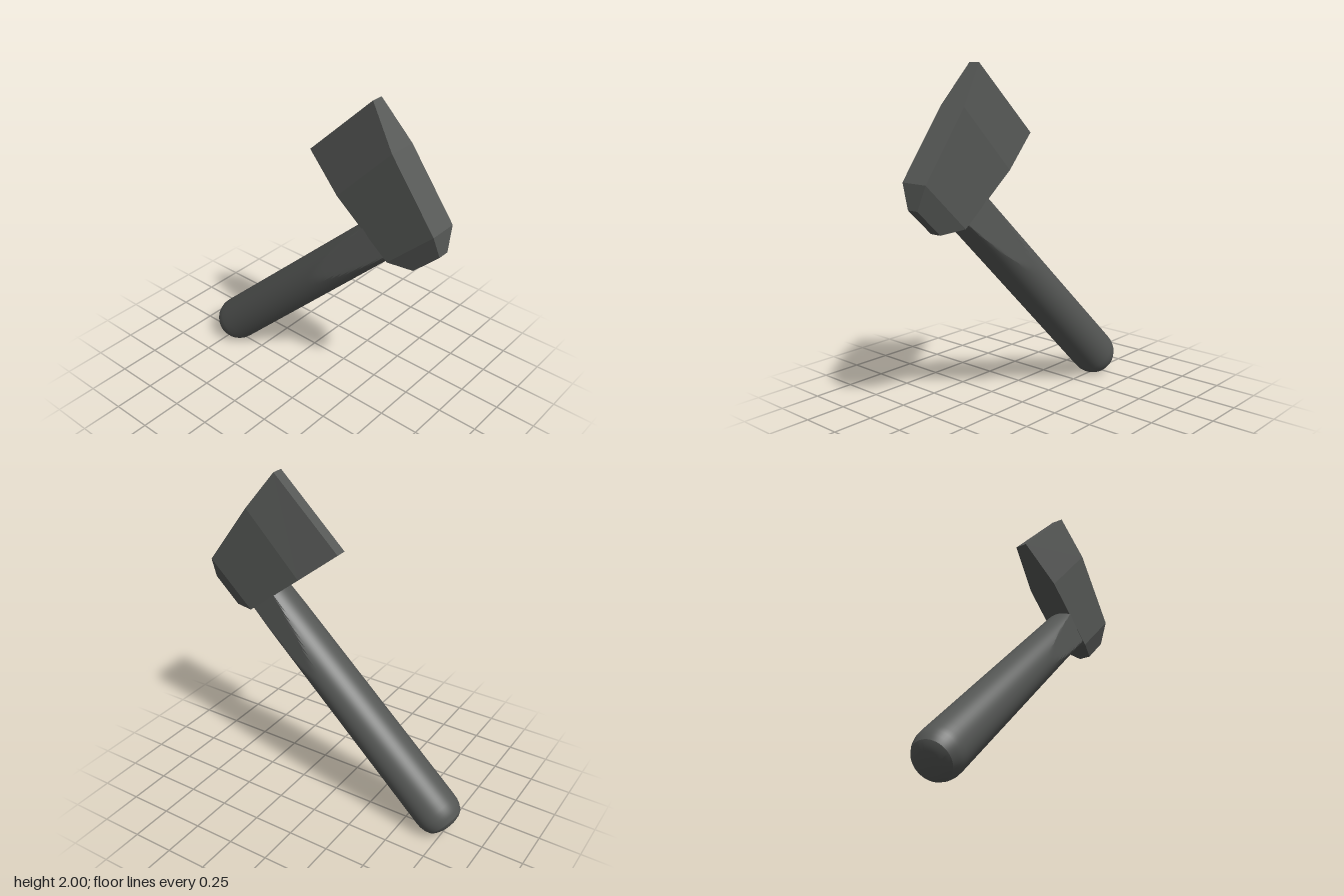
import * as THREE from 'three';
import { toCreasedNormals } from 'three/addons/utils/BufferGeometryUtils.js';

const metal = new THREE.MeshStandardMaterial({ color: 0x555755 });

// Blade and poll: loft through rectangular stations [x0, y0, x1, y1, half thickness]
function createHead() {
  const stations = [
    [-0.03, 1.61, 0.38, 2.0, 0.035],
    [0.2, 1.425, 0.545, 1.78, 0.085],
    [0.545, 1.15, 0.82, 1.41, 0.085],
    [0.68, 1.13, 0.833, 1.275, 0.035],
  ];
  const rings = stations.map(([x0, y0, x1, y1, t]) => [
    [x0, y0, t], [x1, y1, t], [x1, y1, -t], [x0, y0, -t],
  ]);
  const positions = [];
  const quad = (a, b, c, d) => positions.push(...a, ...b, ...c, ...a, ...c, ...d);
  for (let i = 0; i < rings.length - 1; i++) {
    const p = rings[i], q = rings[i + 1];
    for (let k = 0; k < 4; k++) {
      const n = (k + 1) % 4;
      quad(p[k], q[k], q[n], p[n]);
    }
  }
  quad(...rings[0]);
  quad(...rings[rings.length - 1].slice().reverse());
  const geometry = new THREE.BufferGeometry();
  geometry.setAttribute('position', new THREE.Float32BufferAttribute(positions, 3));
  geometry.computeVertexNormals();
  const head = new THREE.Mesh(geometry, metal);
  head.name = 'axeHead';
  return head;
}

// Round handle with a softened butt, pared down to two sloping flats under the head
function createHandle() {
  const length = 1.77, flatStart = 1.18;
  const profile = [[0, 0], [0.07, 0], [0.095, 0.01], [0.115, 0.026], [0.13, 0.055], [0.138, 0.085], [0.14, 0.12]];
  for (let i = 1; i <= 30; i++) profile.push([0.14, 0.12 + (length - 0.12) * i / 30]);
  profile.push([0, length]);

  const geometry = new THREE.LatheGeometry(profile.map(([r, y]) => new THREE.Vector2(r, y)), 64);
  const position = geometry.attributes.position;
  for (let i = 0; i < position.count; i++) {
    const y = position.getY(i);
    const limit = 0.14 - Math.max(0, y - flatStart) * 0.11;
    position.setX(i, position.getX(i) * (1 - 0.08 * y));
    position.setZ(i, THREE.MathUtils.clamp(position.getZ(i), -limit, limit));
  }
  const handle = new THREE.Mesh(toCreasedNormals(geometry, 0.4), metal);
  handle.name = 'handle';
  handle.position.set(-0.773, 0.067, 0);
  handle.rotation.z = -Math.atan2(1.17, 1.115);
  return handle;
}

export function createModel() {
  const model = new THREE.Group();
  model.name = 'hatchet';
  model.add(createHead(), createHandle());
  return model;
}
